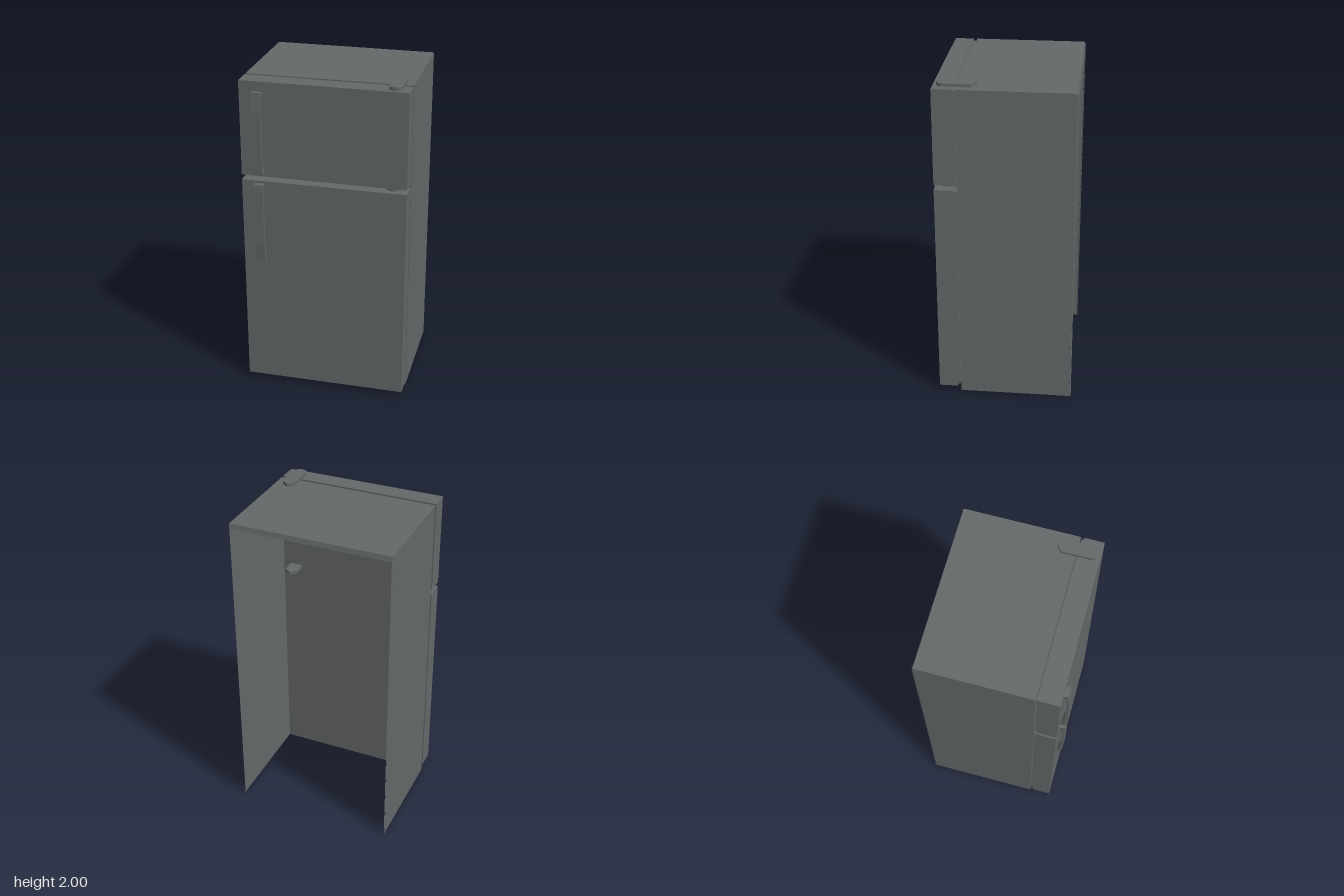
import * as THREE from 'three';

export function createModel() {
  const model = new THREE.Group();
  model.name = 'refrigerator';
  const grey = new THREE.MeshStandardMaterial({ color: 0x646868, side: THREE.DoubleSide, flatShading: true });
  grey.name = 'dark grey metal';

  const add = (name, geometry, x = 0, y = 0, z = 0) => {
    const mesh = new THREE.Mesh(geometry, grey);
    mesh.name = name;
    mesh.position.set(x, y, z);
    model.add(mesh);
    return mesh;
  };
  const box = (name, x0, x1, y0, y1, z0, z1) =>
    add(name, new THREE.BoxGeometry(x1 - x0, y1 - y0, z1 - z0), (x0 + x1) / 2, (y0 + y1) / 2, (z0 + z1) / 2);
  const outline = (points) => new THREE.Shape(points.map(([x, y]) => new THREE.Vector2(x, y)));

  // Cabinet: a thin sheet shell, open at the back and the bottom
  const W = 0.495, H = 1.98, FRONT = 0.257, BACK = -0.42;
  const depth = FRONT - BACK, midZ = (FRONT + BACK) / 2;
  add('cabinetFront', new THREE.PlaneGeometry(2 * W, H), 0, H / 2, FRONT);
  add('cabinetTop', new THREE.PlaneGeometry(2 * W, depth), 0, H, midZ).rotation.x = -Math.PI / 2;
  for (const s of [-1, 1]) {
    add(s > 0 ? 'cabinetLeftSide' : 'cabinetRightSide', new THREE.PlaneGeometry(depth, H), s * W, H / 2, midZ)
      .rotation.y = s * Math.PI / 2;
    // Narrow return along each rear edge
    const edge = add('rearSideLip', new THREE.PlaneGeometry(0.008, H - 0.01), s * (W - 0.002), H / 2 - 0.005, BACK - 0.004);
    edge.rotation.y = s * (Math.PI / 2 + 0.4);
  }
  // Sloped lip along the rear top edge
  const lip = add('rearTopLip', new THREE.PlaneGeometry(2 * W - 0.006, 0.031), 0, H - 0.015, BACK - 0.004);
  lip.rotation.y = Math.PI;
  lip.rotation.x = 0.26;

  // Doors, each with an inset seal behind it
  for (const [name, y0, y1] of [['freezerDoor', 1.4, 1.98], ['fridgeDoor', 0.03, 1.37]]) {
    box(name, -W, W, y0, y1, 0.278, 0.393);
    box(name + 'Seal', -W + 0.007, W - 0.007, y0 + 0.012, y1 - 0.01, 0.263, 0.278);
  }

  // Bowed handles: side profile in (z, y), drawn upward from the foot nearest the gap
  const profile = [
    [0.39, 0], [0.425, 0], [0.429, 0.04], [0.429, 0.385], [0.418, 0.5],
    [0.39, 0.5], [0.39, 0.475], [0.404, 0.46], [0.413, 0.385], [0.413, 0.12], [0.4, 0.03], [0.39, 0.025],
  ];
  for (const [name, y, dir] of [['freezerHandle', 1.42, 1], ['fridgeHandle', 1.355, -1]]) {
    const geo = new THREE.ExtrudeGeometry(outline(profile.map(([z, h]) => [z, y + dir * h])),
      { depth: 0.058, bevelEnabled: false });
    geo.rotateY(-Math.PI / 2); // profile z to +z, depth to -x
    add(name, geo, -0.357);
  }

  // Hinge covers: pointed rear, rounded front, outline in (x, -z)
  const hinge = [
    [0.405, -0.145], [0.37, -0.175], [0.372, -0.35], [0.385, -0.367], [0.41, -0.373],
    [0.433, -0.367], [0.448, -0.345], [0.448, -0.175],
  ];
  for (const [name, y, h] of [['topHinge', 1.98, 0.02], ['middleHinge', 1.375, 0.02]]) {
    const geo = new THREE.ExtrudeGeometry(outline(hinge), { depth: h, bevelEnabled: false });
    geo.rotateX(-Math.PI / 2);
    add(name, geo, 0, y);
  }
  return model;
}
